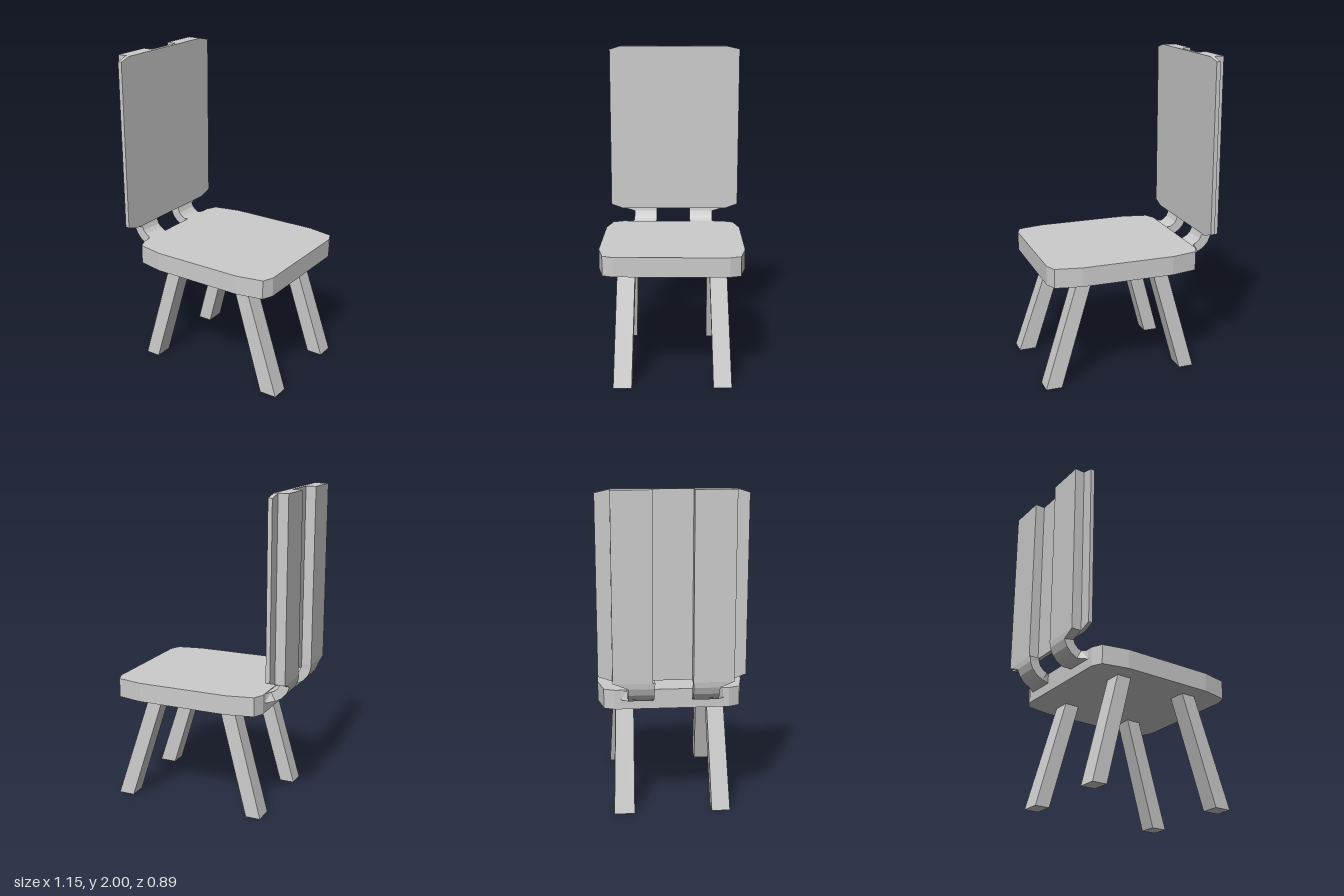
import * as THREE from 'three';

const material = new THREE.MeshStandardMaterial({ color: 0xcccccc, flatShading: true, side: THREE.DoubleSide });

function addMesh(parent, name, geometry) {
  const mesh = new THREE.Mesh(geometry, material);
  mesh.name = name;
  parent.add(mesh);
  return mesh;
}

// Flat-shaded solid through a list of four-cornered rings, capped at both ends.
function loft(rings) {
  const tris = [];
  const quad = (a, b, c, d) => tris.push([a, b, c], [a, c, d]);
  for (let i = 0; i < rings.length - 1; i++) {
    for (let k = 0; k < 4; k++) {
      const n = (k + 1) % 4;
      quad(rings[i][k], rings[i][n], rings[i + 1][n], rings[i + 1][k]);
    }
  }
  quad(...[...rings[0]].reverse());
  quad(...rings[rings.length - 1]);
  // Turn every face outward when the rings run the other way round.
  const v = (p) => new THREE.Vector3(...p);
  const volume = tris.reduce((s, [a, b, c]) => s + v(a).dot(v(b).cross(v(c))), 0);
  if (volume < 0) tris.forEach((t) => t.reverse());
  const geometry = new THREE.BufferGeometry();
  geometry.setAttribute('position', new THREE.Float32BufferAttribute(tris.flat(2), 3));
  geometry.computeVertexNormals();
  return geometry;
}

function plate(points, depth) {
  const shape = new THREE.Shape(points.map(([x, y]) => new THREE.Vector2(x, y)));
  return new THREE.ExtrudeGeometry(shape, { depth, bevelEnabled: false });
}

// Horizontal rectangle used as a leg end.
const rect = (x0, x1, z0, z1, y) => [[x0, y, z0], [x1, y, z0], [x1, y, z1], [x0, y, z1]];

export function createModel() {
  const chair = new THREE.Group();
  chair.name = 'chair';

  // Seat: a slab with two-step clipped corners
  const half = [[-0.435, 0.345], [-0.405, 0.411], [-0.24, 0.446], [0.345, 0.446], [0.51, 0.413], [0.538, 0.345]];
  const outline = [...half, ...half.map(([x, z]) => [x, -z]).reverse()];
  addMesh(chair, 'seat', plate(outline, 0.12).rotateX(-Math.PI / 2).translate(0, 0.685, 0));

  // Backrest panel with slightly clipped corners
  const panel = [
    [-0.36, 0.885], [0.355, 0.885], [0.43, 0.912], [0.432, 1.978],
    [0.36, 2], [-0.36, 2], [-0.448, 1.98], [-0.445, 0.915],
  ];
  addMesh(chair, 'backPanel', plate(panel, 0.026).rotateY(-Math.PI / 2).translate(-0.489, 0, 0));

  // Battens behind the panel, each with a curved bracket reaching the seat
  // Bracket stations: outer x, outer y, inner x, inner y, near z, far z
  const stations = [
    [-0.578, 0.885, -0.515, 0.885, 0.112, 0.353],
    [-0.574, 0.85, -0.511, 0.861, 0.115, 0.27],
    [-0.556, 0.807, -0.5, 0.835, 0.115, 0.27],
    [-0.525, 0.772, -0.48, 0.815, 0.115, 0.27],
    [-0.485, 0.75, -0.458, 0.804, 0.115, 0.27],
    [-0.432, 0.743, -0.432, 0.8, 0.13, 0.312],
  ];
  for (const [side, sign, z0, z1] of [['left', -1, -0.361, -0.125], ['right', 1, 0.112, 0.353]]) {
    addMesh(chair, side + 'Batten', new THREE.BoxGeometry(0.063, 1.115, z1 - z0))
      .position.set(-0.5465, 1.4425, (z0 + z1) / 2);
    const rings = stations.map(([ox, oy, ix, iy, a, b]) => [
      [ox, oy, sign * a], [ix, iy, sign * a], [ix, iy, sign * b], [ox, oy, sign * b],
    ]);
    addMesh(chair, side + 'Bracket', loft(rings));
  }

  // Splayed legs: top x range, bottom x range, top z range, bottom z range
  const legs = [
    ['frontRightLeg', 0.245, 0.34, 0.465, 0.575, 0.225, 0.335, 0.24, 0.352],
    ['frontLeftLeg', 0.245, 0.34, 0.46, 0.562, -0.335, -0.23, -0.364, -0.253],
    ['backRightLeg', -0.24, -0.145, -0.43, -0.335, 0.23, 0.335, 0.25, 0.364],
    ['backLeftLeg', -0.24, -0.145, -0.43, -0.335, -0.335, -0.225, -0.358, -0.232],
  ];
  for (const [name, tx0, tx1, bx0, bx1, tz0, tz1, bz0, bz1] of legs) {
    addMesh(chair, name, loft([rect(bx0, bx1, bz0, bz1, 0), rect(tx0, tx1, tz0, tz1, 0.69)]));
  }

  return chair;
}
